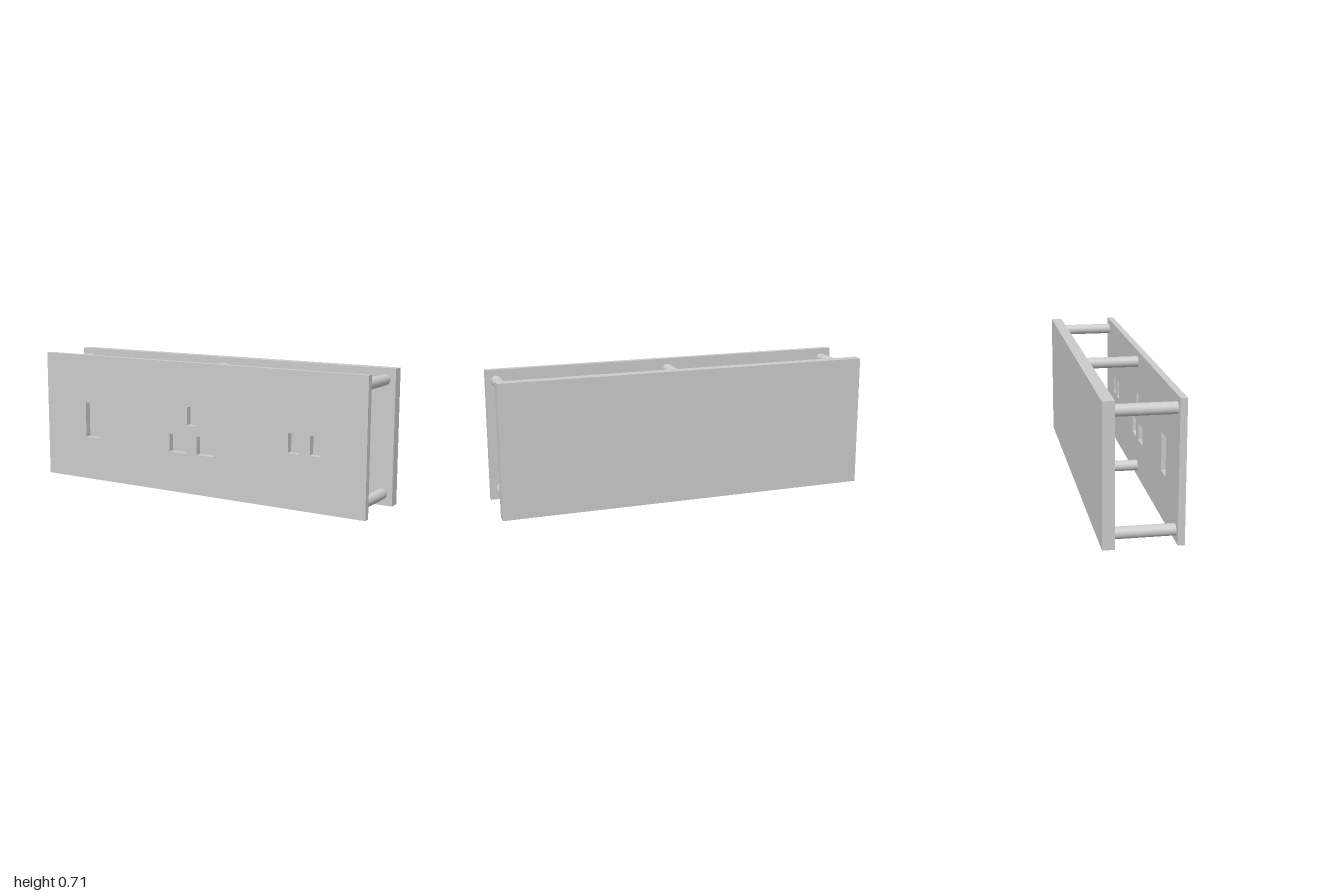
import * as THREE from 'three';

const HEIGHT = 0.706;
const FRONT = { back: 0.16, front: 0.194 };
const REAR = { back: -0.194, front: -0.135 };

// Rectangle with slightly eased corners, given by its edges
function roundedRect(x0, x1, y0, y1, r) {
  const p = new THREE.Path();
  p.moveTo(x0 + r, y0);
  p.lineTo(x1 - r, y0);
  p.absarc(x1 - r, y0 + r, r, -Math.PI / 2, 0);
  p.lineTo(x1, y1 - r);
  p.absarc(x1 - r, y1 - r, r, 0, Math.PI / 2);
  p.lineTo(x0 + r, y1);
  p.absarc(x0 + r, y1 - r, r, Math.PI / 2, Math.PI);
  p.lineTo(x0, y0 + r);
  p.absarc(x0 + r, y0 + r, r, Math.PI, Math.PI * 1.5);
  return p;
}

export function createModel() {
  const model = new THREE.Group();
  model.name = 'socketPanel';
  const material = new THREE.MeshStandardMaterial({ color: 0xcccccc });

  function add(name, geometry, x, y, z) {
    const mesh = new THREE.Mesh(geometry, material);
    mesh.name = name;
    mesh.position.set(x, y, z);
    model.add(mesh);
    return mesh;
  }

  // Front plate with cut-outs: x0, x1, y0, y1, corner radius
  const plate = new THREE.Shape([
    new THREE.Vector2(-1, 0), new THREE.Vector2(1, 0),
    new THREE.Vector2(1, HEIGHT), new THREE.Vector2(-1, HEIGHT),
  ]);
  const cutouts = [
    [-0.722, -0.623, 0.24, 0.438, 0.002], // switch opening
    [-0.032, 0.018, 0.37, 0.47, 0.005],   // upper slot
    [-0.148, -0.04, 0.217, 0.315, 0.002], // lower slots
    [0.028, 0.136, 0.217, 0.315, 0.002],
    [0.574, 0.633, 0.287, 0.388, 0.006],  // pair of small ports
    [0.697, 0.756, 0.287, 0.388, 0.006],
  ];
  for (const c of cutouts) plate.holes.push(roundedRect(...c));
  add('frontPlate', new THREE.ExtrudeGeometry(plate, {
    depth: FRONT.front - FRONT.back, bevelEnabled: false, curveSegments: 4,
  }), 0, 0, FRONT.back);

  // Solid rear plate
  const rearDepth = REAR.front - REAR.back;
  add('rearPlate', new THREE.BoxGeometry(2, HEIGHT, rearDepth),
    0, HEIGHT / 2, (REAR.back + REAR.front) / 2);

  // Spacer rods joining the plates
  const rod = new THREE.CylinderGeometry(0.029, 0.029, FRONT.back - REAR.front, 40);
  rod.rotateX(Math.PI / 2);
  const rodZ = (FRONT.back + REAR.front) / 2;
  for (const x of [-0.942, 0, 0.942]) {
    for (const y of [0.059, 0.647]) add('spacerRod', rod, x, y, rodZ);
  }

  return model;
}
